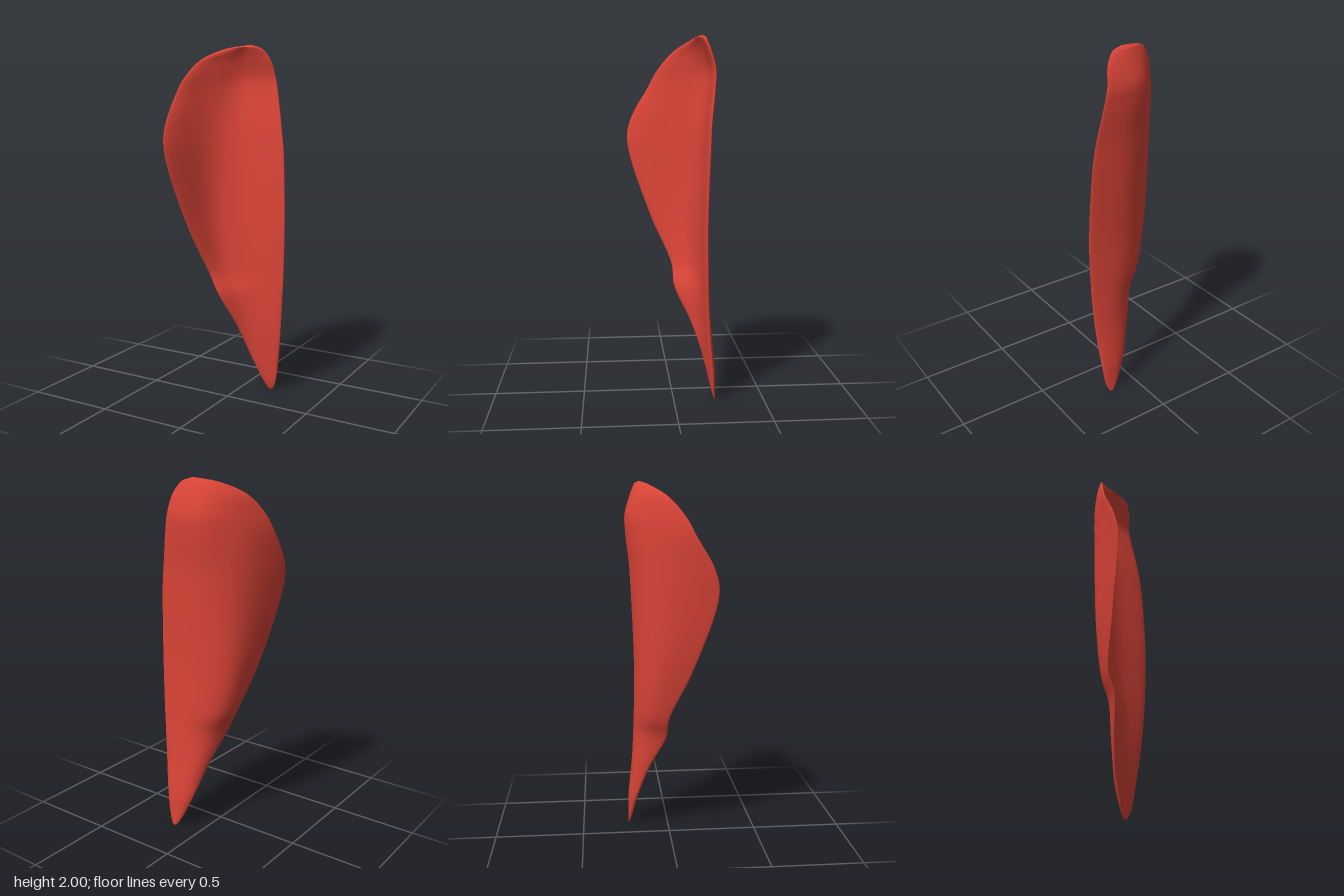
import * as THREE from 'three';

// Height, then (x, z) of the left edge, the bend and the right edge
const SECTIONS = [
  [0.005, 0.155, -0.228, 0.162, -0.23, 0.18, -0.23],
  [0.05, 0.125, -0.218, 0.145, -0.223, 0.2, -0.222],
  [0.2, 0.06, -0.185, 0.1, -0.202, 0.225, -0.21],
  [0.4, 0, -0.115, 0.045, -0.165, 0.247, -0.19],
  [0.6, -0.07, -0.022, -0.01, -0.122, 0.262, -0.178],
  [0.72, -0.122, -0.01, -0.065, -0.115, 0.268, -0.175],
  [1, -0.19, 0.11, -0.13, -0.085, 0.273, -0.172],
  [1.42, -0.255, 0.238, -0.16, -0.072, 0.254, -0.187],
  [1.55, -0.268, 0.215, -0.162, -0.075, 0.236, -0.195],
  [1.72, -0.262, 0.12, -0.158, -0.084, 0.205, -0.214],
  [1.82, -0.237, 0.065, -0.145, -0.092, 0.186, -0.218],
  [1.92, -0.18, -0.02, -0.105, -0.116, 0.165, -0.192],
  [1.98, -0.08, -0.115, -0.03, -0.142, 0.122, -0.17],
  [2, 0.035, -0.158, 0.045, -0.159, 0.065, -0.161],
];
const ACROSS = 28; // steps from edge to edge
const UP = 100; // steps from tip to crown

// Closed lens-shaped ring: inner face left to right, then outer face back again
function makeRing(left, bend, right) {
  // The flat wing runs almost straight back from the right edge before it bends
  const flat = bend.clone().lerp(right, 0.37);
  flat.z = THREE.MathUtils.lerp(bend.z, right.z, 0.93);
  const curve = new THREE.CatmullRomCurve3([left, bend, flat, right], false, 'centripetal');
  const half = Math.min(0.022, left.distanceTo(right) * 0.14);
  const ring = [];
  for (let j = 0; j < ACROSS * 2; j++) {
    const inner = j < ACROSS;
    const s = (inner ? j : ACROSS * 2 - j) / ACROSS;
    const u = (1 - Math.cos(Math.PI * s)) / 2;
    const p = curve.getPoint(u);
    const t = curve.getTangent(u);
    const bulge = half * Math.sin(Math.PI * s) * (inner ? 1 : -1);
    const len = Math.hypot(t.x, t.z);
    ring.push(p.x - (t.z / len) * bulge, p.y, p.z + (t.x / len) * bulge);
  }
  return ring;
}

function bladeGeometry() {
  // Three guide curves running from the tip to the crown
  const guides = [1, 3, 5].map((k) => new THREE.CatmullRomCurve3(
    SECTIONS.map((r) => new THREE.Vector3(r[k], r[0], r[k + 1])), false, 'centripetal'));
  const positions = [];
  const index = [];
  const n = ACROSS * 2;
  for (let i = 0; i <= UP; i++) {
    positions.push(...makeRing(...guides.map((g) => g.getPoint(i / UP))));
    if (i === UP) break;
    for (let j = 0; j < n; j++) {
      const a = i * n + j;
      const b = i * n + ((j + 1) % n);
      index.push(a, b, b + n, a, b + n, a + n);
    }
  }
  // Small caps at the tip and the crown
  const top = UP * n;
  for (let j = 1; j < n - 1; j++) {
    index.push(0, j + 1, j, top, top + j, top + j + 1);
  }
  const geometry = new THREE.BufferGeometry();
  geometry.setAttribute('position', new THREE.Float32BufferAttribute(positions, 3));
  geometry.setIndex(index);
  geometry.computeVertexNormals();
  return geometry;
}

export function createModel() {
  const model = new THREE.Group();
  model.name = 'curvedPetal';
  const blade = new THREE.Mesh(bladeGeometry(), new THREE.MeshStandardMaterial({ color: 0xdb4437 }));
  blade.name = 'petalBlade';
  model.add(blade);
  return model;
}
